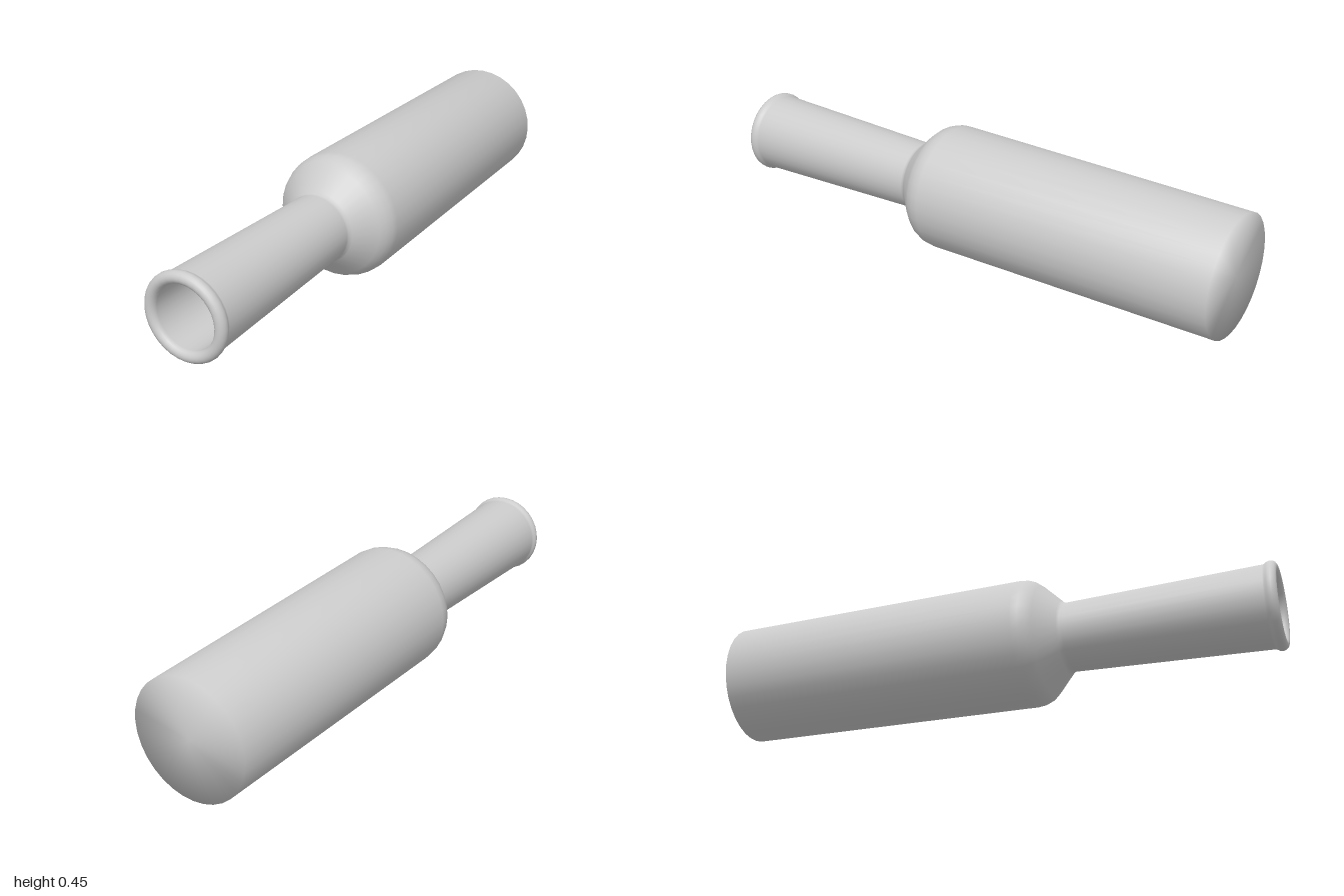
import * as THREE from 'three';

const AXIS_Y = 0.227;

export function createModel() {
  const group = new THREE.Group();
  group.name = 'bottle';
  const material = new THREE.MeshStandardMaterial({ color: 0xcccccc });

  // Outer wall as radius, z: flat base, body, shoulder and flared neck
  const outer = [
    [0, -1], [0.214, -1], [0.227, 0.11], [0.224, 0.135], [0.214, 0.16],
    [0.198, 0.18], [0.132, 0.246], [0.125, 0.255], [0.123, 0.265], [0.144, 0.955],
  ];
  // Rolled lip
  const lip = [];
  for (let i = 0; i <= 12; i++) {
    const a = -0.25 * Math.PI + (i / 12) * 1.25 * Math.PI;
    lip.push([0.132 + 0.021 * Math.cos(a), 0.978 + 0.022 * Math.sin(a)]);
  }
  // Hollow inside, down to the floor
  const inner = [[0.112, 0.95], [0.111, 0.265], [0.116, 0.245], [0.196, 0.16], [0.211, 0.11], [0.199, -0.98], [0, -0.98]];

  const profile = [...outer, ...lip, ...inner].map(([r, z]) => new THREE.Vector2(r, z));
  const geometry = new THREE.LatheGeometry(profile, 32);
  geometry.rotateX(Math.PI / 2);

  // The neck sits very slightly off the body's axis
  const pos = geometry.attributes.position;
  for (let i = 0; i < pos.count; i++) {
    const t = THREE.MathUtils.smoothstep(pos.getZ(i), 0.1, 0.27);
    pos.setX(i, pos.getX(i) - 0.005 * t);
  }

  const bottle = new THREE.Mesh(geometry, material);
  bottle.name = 'bottleShell';
  bottle.position.y = AXIS_Y;
  group.add(bottle);
  return group;
}
